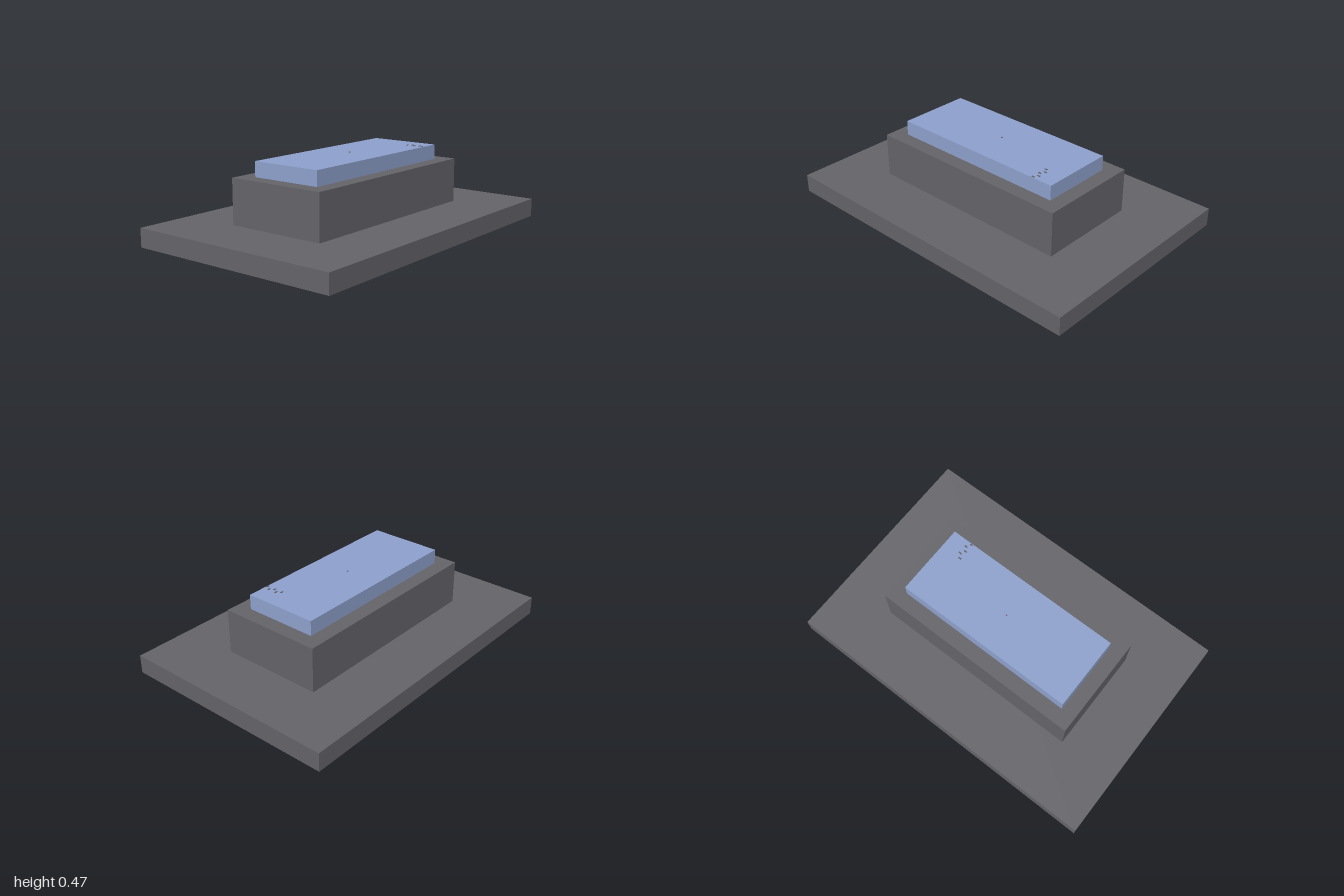
import * as THREE from 'three';

export function createModel() {
  const model = new THREE.Group();
  const grey = new THREE.MeshStandardMaterial({ color: 0x636267 });
  grey.name = 'dark grey';
  const blue = new THREE.MeshStandardMaterial({ color: 0x8c9fca });
  blue.name = 'soft blue';

  // Box resting on height y
  function slab(name, material, w, h, d, x, y, z) {
    const mesh = new THREE.Mesh(new THREE.BoxGeometry(w, h, d), material);
    mesh.name = name;
    mesh.position.set(x, y + h / 2, z);
    model.add(mesh);
  }

  // Three stacked tiers
  slab('basePlate', grey, 1.333, 0.111, 2, 0, 0, 0);
  slab('middleBlock', grey, 0.622, 0.267, 1.289, 0, 0.111, 0);
  slab('topSlab', blue, 0.444, 0.089, 1.111, 0, 0.378, 0);

  // Tiny studs on the top: one in the middle, a zigzag row near the back
  slab('centreStud', grey, 0.008, 0.003, 0.008, -0.003, 0.467, 0);
  for (let i = 0; i < 5; i++) {
    slab('rowStud', grey, 0.008, 0.003, 0.018, 0.108 + i * 0.0265, 0.467, i % 2 ? -0.444 : -0.426);
  }
  return model;
}
